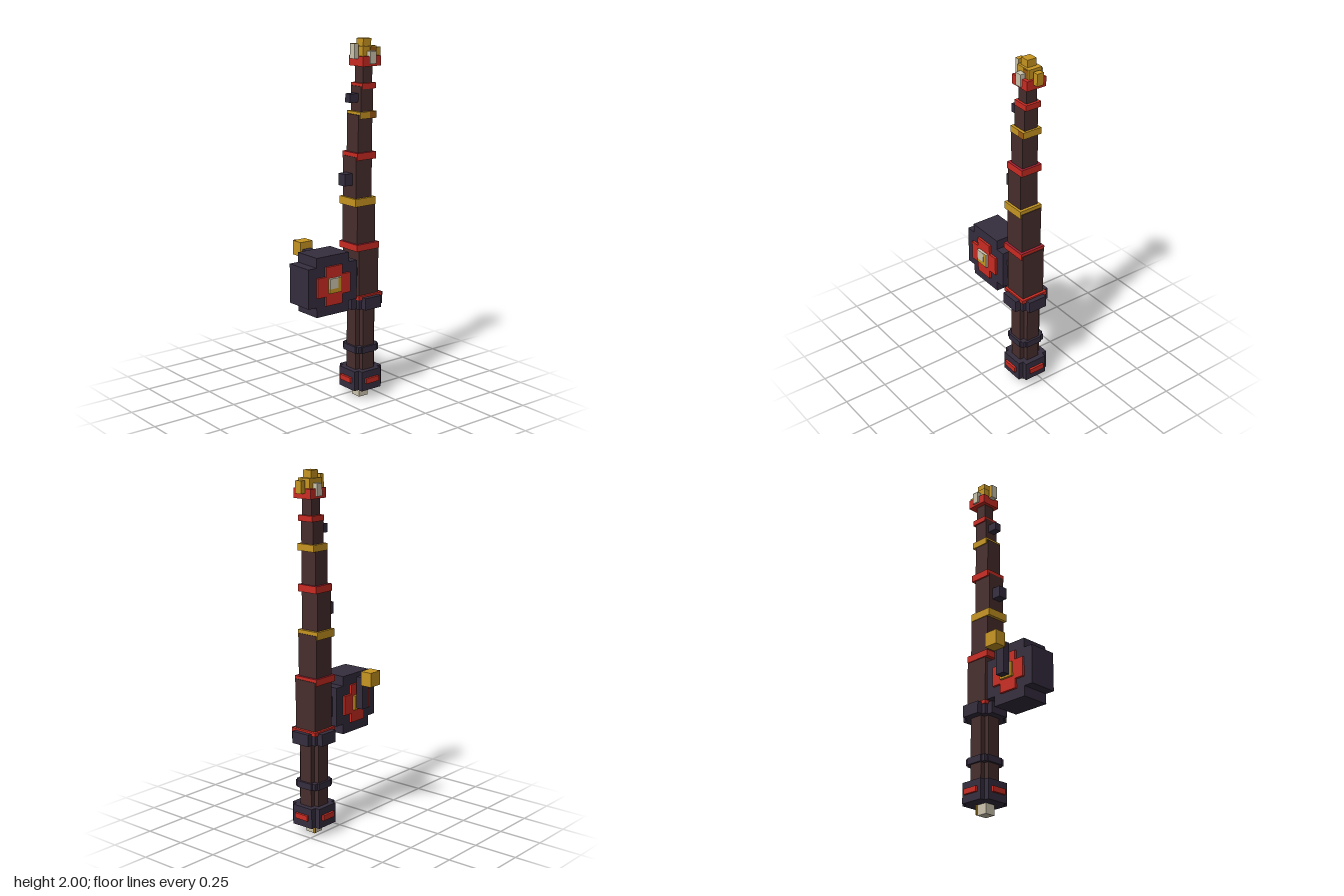
import * as THREE from 'three';

const mat = (name, color) => {
  const m = new THREE.MeshStandardMaterial({ color });
  m.name = name;
  return m;
};

export function createModel() {
  const wood = mat('dark wood', 0x472e2d);
  const iron = mat('dark iron', 0x352d3e);
  const red = mat('red', 0xcb2c23);
  const crimson = mat('crimson', 0xa02030);
  const gold = mat('gold', 0xc99722);
  const bronze = mat('bronze', 0x9c5c14);
  const ivory = mat('ivory', 0xcdc5ae);

  const root = new THREE.Group();
  root.name = 'fishingRod';

  // Box from its minimum and maximum along each axis
  const box = (name, m, [x0, x1], [y0, y1], [z0, z1], parent = root) => {
    const mesh = new THREE.Mesh(new THREE.BoxGeometry(x1 - x0, y1 - y0, z1 - z0), m);
    mesh.position.set((x0 + x1) / 2, (y0 + y1) / 2, (z0 + z1) / 2);
    mesh.name = name;
    parent.add(mesh);
    return mesh;
  };

  const CX = 0.157, CZ = 0.054;
  // Two crossed boxes around the rod axis: total span and arm width
  const cross = (name, m, span, arm, y) => {
    const g = new THREE.Group();
    g.name = name;
    const r = (c, w) => [c - w / 2, c + w / 2];
    box(name + 'Across', m, r(CX, span), y, r(CZ, arm), g);
    box(name + 'Along', m, r(CX, arm), y, r(CZ, span), g);
    root.add(g);
  };

  // Butt cap, handle and guard
  box('buttTip', ivory, [0.12, 0.183], [0, 0.06], [0.027, 0.09]);
  box('buttTipEdge', gold, [0.181, 0.191], [0.004, 0.06], [0.02, 0.034]);
  cross('buttCap', iron, 0.194, 0.135, [0.057, 0.17]);
  cross('buttBand', red, 0.22, 0.09, [0.1, 0.13]);
  cross('handle', wood, 0.135, 0.078, [0.16, 0.54]);
  cross('handleRing', iron, 0.16, 0.1, [0.27, 0.307]);
  box('handleRingCore', iron, [0.087, 0.227], [0.27, 0.307], [-0.016, 0.124]);
  cross('guard', iron, 0.22, 0.112, [0.53, 0.597]);
  box('guardCore', iron, [0.08, 0.234], [0.53, 0.595], [-0.023, 0.131]);
  box('guardTrim', red, [0.075, 0.24], [0.585, 0.606], [-0.028, 0.137]);

  // Tapering shaft: x range, y range, z range
  [
    [[0.087, 0.224], [0.59, 0.88], [-0.015, 0.123]],
    [[0.078, 0.204], [0.88, 1.13], [-0.009, 0.117]],
    [[0.073, 0.183], [1.13, 1.375], [0, 0.11]],
    [[0.093, 0.19], [1.375, 1.6], [0.006, 0.103]],
    [[0.115, 0.198], [1.6, 1.75], [0.014, 0.097]],
    [[0.135, 0.2], [1.75, 1.87], [0.022, 0.088]],
  ].forEach((s, i) => box('shaft' + (i + 1), wood, ...s));

  // Wrapped bands; box faces run +x, -x, +y, -y, +z, -z
  const redTop = [red, red, crimson, red, red, red];
  [
    [redTop, [0.066, 0.22], [0.86, 0.897], [-0.022, 0.132]],
    [gold, [0.06, 0.2], [1.107, 1.15], [-0.014, 0.124]],
    [redTop, [0.077, 0.204], [1.358, 1.397], [-0.01, 0.118]],
    [gold, [0.1, 0.21], [1.578, 1.615], [0, 0.112]],
    [red, [0.12, 0.215], [1.735, 1.766], [0.007, 0.102]],
  ].forEach((b, i) => box('band' + (i + 1), ...b));
  box('bandPatch', bronze, [0.165, 0.21], [1.578, 1.615], [0.111, 0.114]);

  // Line guides on the reel side
  box('lowerGuide', iron, [0.02, 0.09], [1.22, 1.285], [0.026, 0.081]);
  box('upperGuide', iron, [0.06, 0.12], [1.665, 1.712], [0.033, 0.075]);

  // Crown and its prongs
  box('crownBase', red, [0.116, 0.238], [1.855, 1.908], [-0.005, 0.113]);
  box('crownBody', gold, [0.13, 0.225], [1.9, 1.96], [0.012, 0.093]);
  box('crownPatch', bronze, [0.18, 0.22], [1.91, 1.955], [0.092, 0.095]);
  box('crownTop', gold, [0.143, 0.198], [1.955, 2], [0.025, 0.08]);
  box('crownProngFront', ivory, [0.158, 0.198], [1.868, 1.935], [0.092, 0.124]);
  box('crownProngBack', ivory, [0.158, 0.198], [1.868, 1.935], [-0.015, 0.013]);
  box('crownProngLeft', gold, [0.236, 0.268], [1.883, 1.95], [0.034, 0.074]);
  box('crownProngRight', [gold, ivory, gold, ivory, ivory, gold],
    [0.089, 0.115], [1.895, 1.975], [0.034, 0.074]);

  // Reel drum with stepped corners
  const reel = new THREE.Group();
  reel.name = 'reel';
  root.add(reel);
  box('drumWide', iron, [-0.27, 0.06], [0.6, 0.818], [-0.028, 0.137], reel);
  box('drumTall', iron, [-0.215, 0.004], [0.543, 0.872], [-0.028, 0.137], reel);
  box('reelMount', iron, [0.05, 0.1], [0.655, 0.765], [0, 0.108], reel);
  box('reelCrossWide', red, [-0.215, 0.005], [0.653, 0.762], [-0.042, 0.15], reel);
  box('reelCrossTall', red, [-0.16, -0.05], [0.6, 0.815], [-0.042, 0.15], reel);
  box('reelHubFront', [ivory, gold, ivory, gold, gold, gold],
    [-0.145, -0.063], [0.67, 0.752], [0.145, 0.163], reel);
  box('reelHubInlay', ivory, [-0.145, -0.09], [0.695, 0.752], [0.162, 0.166], reel);
  box('reelHubBack', gold, [-0.145, -0.063], [0.67, 0.752], [-0.056, -0.04], reel);

  // Crank on the back of the reel
  box('crankArm', iron, [-0.131, -0.077], [0.68, 0.86], [-0.098, -0.055], reel);
  box('crankKnob', gold, [-0.145, -0.063], [0.82, 0.9], [-0.167, -0.098], reel);
  box('crankKnobPatch', bronze, [-0.145, -0.132], [0.899, 0.902], [-0.167, -0.155], reel);

  return root;
}
